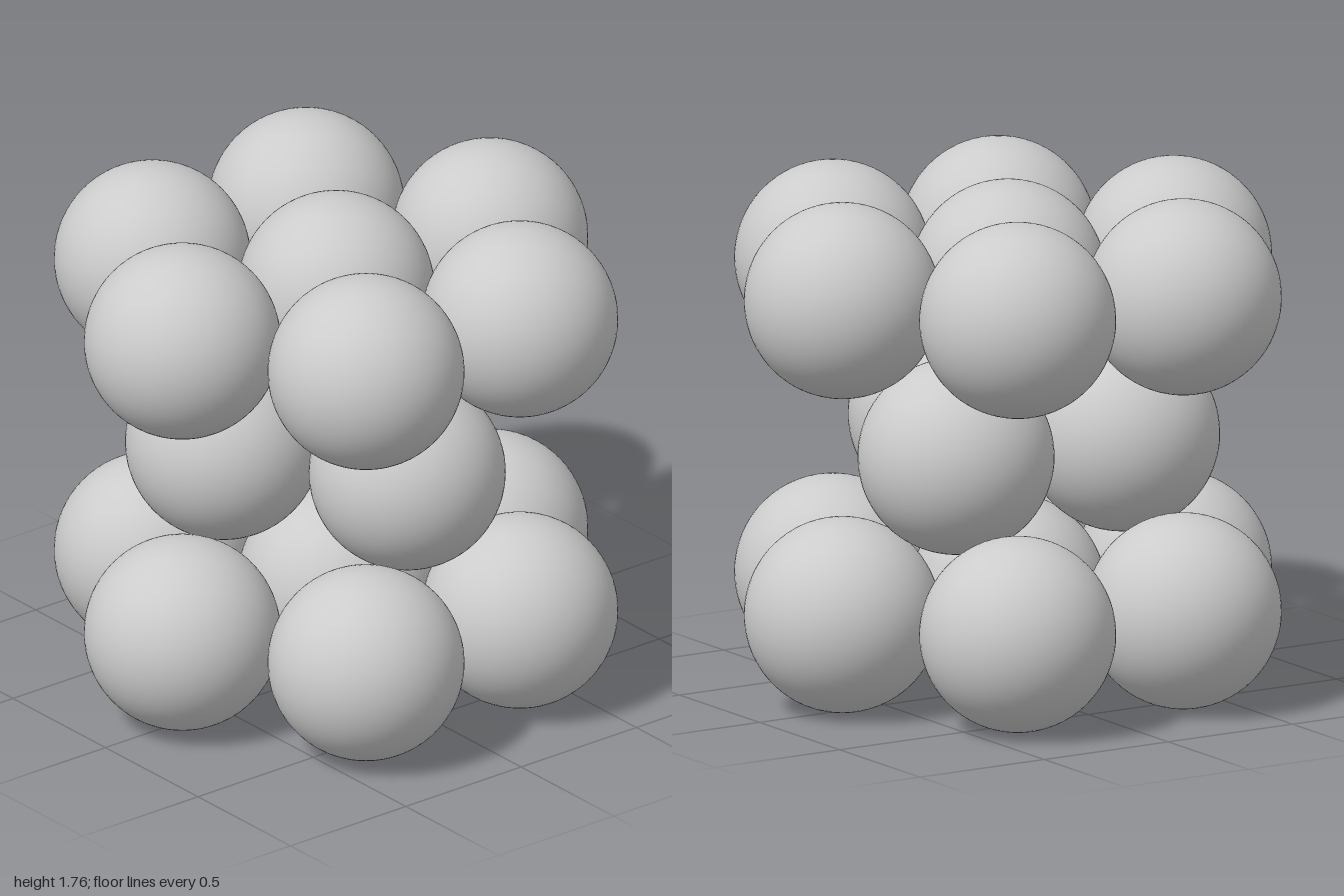
import * as THREE from 'three';

const R = 1 / 3;                              // ball radius
const LAYER = 2 * R * Math.sqrt(2 / 3);       // height between close-packed layers

export function createModel() {
  const model = new THREE.Group();
  model.name = 'closePackedBalls';
  const material = new THREE.MeshStandardMaterial({ color: 0xcccccc });
  const ball = new THREE.SphereGeometry(R, 64, 40);

  function addBall(layer, name, angle, distance) {
    const mesh = new THREE.Mesh(ball, material);
    mesh.name = name;
    mesh.position.set(Math.sin(angle) * distance, 0, Math.cos(angle) * distance);
    layer.add(mesh);
  }

  function addLayer(name, level) {
    const layer = new THREE.Group();
    layer.name = name;
    layer.position.y = R + level * LAYER;
    model.add(layer);
    return layer;
  }

  // Bottom and top layers: a centre ball ringed by six touching balls
  for (const [name, level] of [['bottomLayer', 0], ['topLayer', 2]]) {
    const layer = addLayer(name, level);
    addBall(layer, 'centreBall', 0, 0);
    for (let i = 0; i < 6; i++) {
      addBall(layer, `ringBall${i + 1}`, Math.PI / 6 + (i * Math.PI) / 3, 2 * R);
    }
  }

  // Middle layer: three balls nested in the hollows, one of them at the front
  const middle = addLayer('middleLayer', 1);
  for (let i = 0; i < 3; i++) {
    addBall(middle, `nestedBall${i + 1}`, (i * 2 * Math.PI) / 3, (2 * R) / Math.sqrt(3));
  }

  return model;
}
